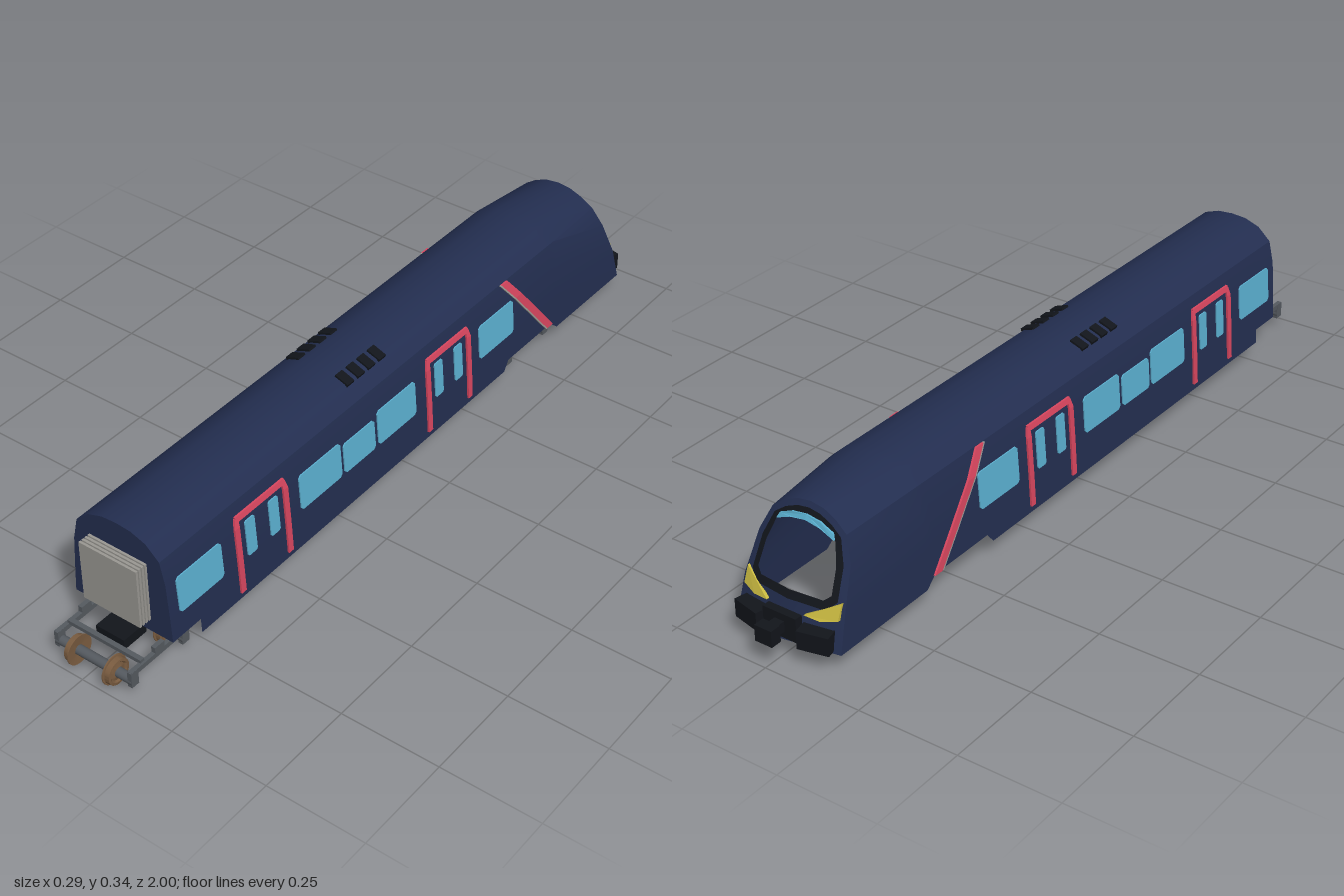
import * as THREE from 'three';
import { toCreasedNormals } from 'three/addons/utils/BufferGeometryUtils.js';

const mat = (color) => new THREE.MeshStandardMaterial({ color, side: THREE.DoubleSide });
const navy = mat(0x232e50), black = mat(0x12151b), glass = mat(0x5bb0d0), pink = mat(0xd9465f);
const yellow = mat(0xc8b840), grey = mat(0x9a9893), steel = mat(0x555a60), brown = mat(0x7a5c40);

// Half cross-sections, from the sill up to the roof centre
const BODY = [[0.141, 0.04], [0.135, 0.14], [0.128, 0.235], [0.115, 0.293], [0.08, 0.325], [0.04, 0.339], [0, 0.342]];
const NOSE = [[0.142, 0.043], [0.137, 0.13], [0.124, 0.225], [0.1, 0.28], [0.07, 0.302], [0.036, 0.317], [0, 0.322]];
const MASK = [[0.095, 0.13], [0.116, 0.15], [0.11, 0.22], [0.09, 0.272], [0.062, 0.292], [0.03, 0.305], [0, 0.309]];
const PANE = [[0.085, 0.148], [0.1, 0.16], [0.095, 0.215], [0.08, 0.262], [0.055, 0.275], [0.03, 0.282], [0, 0.285]];
const REAR = 0.86;

// Half-width of the side wall at a height
function wallX(y) {
  let i = 0;
  while (i < BODY.length - 2 && y > BODY[i + 1][1]) i++;
  const [x0, y0] = BODY[i], [x1, y1] = BODY[i + 1];
  return x0 + (x1 - x0) * (y - y0) / (y1 - y0);
}
// Depth of the raked, bowed cab front
const noseZ = (x, y) => (y < 0.13 ? -0.945 + (y - 0.045) * 0.29 : -0.92 + (y - 0.13) * 0.47) + 1.2 * x * x;

const mirrorHalf = (half) => [...half, ...half.slice(0, -1).reverse().map(([x, y]) => [-x, y])];

// Skin over rows of points with equal counts
function loft(rows, closed) {
  const n = rows[0].length, index = [];
  for (let r = 0; r < rows.length - 1; r++) {
    for (let i = 0; i < (closed ? n : n - 1); i++) {
      const a = r * n + i, b = r * n + (i + 1) % n;
      index.push(a, b, a + n, b, b + n, a + n);
    }
  }
  const g = new THREE.BufferGeometry();
  g.setAttribute('position', new THREE.Float32BufferAttribute(rows.flat(2), 3));
  g.setIndex(index);
  return toCreasedNormals(g, 0.45);
}

function add(parent, name, geometry, material, x = 0, y = 0, z = 0) {
  const m = new THREE.Mesh(geometry, material);
  m.name = name;
  m.position.set(x, y, z);
  parent.add(m);
  return m;
}
const box = (p, name, material, w, h, d, x, y, z) => add(p, name, new THREE.BoxGeometry(w, h, d), material, x, y, z);

// Extrude an outline, then bend it onto a surface by a rule
function plate(parent, name, points, depth, material, rule) {
  const shape = new THREE.Shape(points.map(([a, b]) => new THREE.Vector2(a, b)));
  const g = new THREE.ExtrudeGeometry(shape, { depth, bevelEnabled: false });
  const p = g.attributes.position;
  for (let i = 0; i < p.count; i++) p.setXYZ(i, ...rule(p.getX(i), p.getY(i), p.getZ(i)));
  g.computeVertexNormals();
  return add(parent, name, g, material);
}
// Plate on a side wall, outline given as (z, y)
const sidePlate = (parent, name, side, points, material, depth = 0.006) =>
  plate(parent, name, points, depth, material, (z, y, d) => [side * (wallX(y) - 0.003 + d), y, z]);
const rect = (z0, z1, y0, y1) => [[z0, y0], [z1, y0], [z1, y1], [z0, y1]];
// Window outline with clipped corners
const pane = (z0, z1, y0, y1, c = 0.007) => [[z0 + c, y0], [z1 - c, y0], [z1, y0 + c], [z1, y1 - c],
  [z1 - c, y1], [z0 + c, y1], [z0, y1 - c], [z0, y0 + c]];

function addBody(root) {
  // Shell with raised sills over the bogies, open underneath
  const stations = [[REAR, 0.08], [0.77, 0.08], [0.77, 0.043], [-0.39, 0.043], [-0.41, 0.068], [-0.6, 0.068], [-0.63, 0.043]];
  const rows = stations.map(([z, sill]) =>
    mirrorHalf([[wallX(sill), sill], ...BODY.slice(1)]).map(([x, y]) => [x, y, z]));
  rows.push(mirrorHalf(NOSE).map(([x, y]) => [x, y, noseZ(x, y)]));
  add(root, 'bodyShell', loft(rows), navy);

  // End wall with doorway and bellows
  const wall = new THREE.Shape(mirrorHalf([[wallX(0.08), 0.08], ...BODY.slice(1)]).map((p) => new THREE.Vector2(...p)));
  wall.holes.push(new THREE.Path([[-0.075, 0.12], [-0.075, 0.267], [0.075, 0.267], [0.075, 0.12]].map((p) => new THREE.Vector2(...p))));
  add(root, 'endWall', new THREE.ShapeGeometry(wall), navy, 0, 0, REAR);
  for (let i = 0; i < 4; i++) {
    box(root, 'gangwayFold', grey, 0.16, 0.157, 0.006, 0, 0.1935, REAR + 0.004 + i * 0.0093);
    if (i < 3) box(root, 'gangwayCore', grey, 0.148, 0.145, 0.004, 0, 0.1935, REAR + 0.0087 + i * 0.0093);
  }

  // Roof vents
  for (const s of [-1, 1]) {
    for (let i = 0; i < 4; i++) {
      const vent = box(root, 'roofVent', black, 0.038, 0.008, 0.025, s * 0.07, 0.3295, 0.05 + i * 0.04);
      vent.rotation.z = -s * 0.36;
    }
  }
}

function addSide(root, s) {
  const side = new THREE.Group();
  side.name = s > 0 ? 'leftSide' : 'rightSide';
  root.add(side);
  const windows = [[0.685, 0.83, 0.235], [0.267, 0.417, 0.235], [0.14, 0.257, 0.222], [-0.02, 0.128, 0.235], [-0.43, -0.283, 0.235]];
  for (const [z0, z1, top] of windows) sidePlate(side, 'window', s, pane(z0, z1, 0.142, top), glass);
  // Doors: frame bars and two narrow windows
  for (const z of [0.548, -0.155]) {
    for (const e of [-1, 1]) {
      const a = z + e * 0.083;
      sidePlate(side, 'doorPost', s, rect(a - 0.008, a + 0.008, 0.06, 0.14), pink, 0.008);
      sidePlate(side, 'doorPost', s, rect(a - 0.008, a + 0.008, 0.14, 0.235), pink, 0.008);
      sidePlate(side, 'doorPost', s, [[a - 0.008, 0.235], [a + 0.008, 0.235],
        [a + (e > 0 ? 0.002 : 0.008), 0.258], [a - (e > 0 ? 0.008 : 0.002), 0.258]], pink, 0.008);
      const w = z + e * 0.04;
      sidePlate(side, 'doorWindow', s, pane(w - 0.016, w + 0.016, 0.14, 0.235, 0.004), glass);
    }
    sidePlate(side, 'doorHeader', s, rect(z - 0.083, z + 0.083, 0.248, 0.262), pink, 0.008);
  }
  // Slanted stripe with a pale edge
  const slantZ = (y) => -0.6 + (y - 0.06) * 0.83;
  const levels = [0.068, 0.14, 0.235, 0.292];
  const bands = [['stripe', pink, -0.012, 0.014], ['stripeEdge', grey, 0.014, 0.019]];
  for (const [name, material, l, r] of bands) {
    for (let i = 0; i < 3; i++) {
      const a = levels[i], b = levels[i + 1];
      sidePlate(side, name, s, [[slantZ(a) + l, a], [slantZ(a) + r, a], [slantZ(b) + r, b], [slantZ(b) + l, b]], material, 0.008);
    }
  }
}

function addCab(root) {
  const cab = new THREE.Group();
  cab.name = 'cab';
  root.add(cab);
  // Front panel, black mask and open windscreen as nested loops
  const ring = (half) => [...mirrorHalf(half), [0, half[0][1]]].map(([x, y]) => [x, y, noseZ(x, y)]);
  add(cab, 'frontPanel', loft([ring(NOSE), ring(MASK)], true), navy);
  add(cab, 'windscreenMask', loft([ring(MASK), ring(PANE)], true), black);
  const onNose = (x, y, d) => [x, y, noseZ(x, y) + 0.002 - d];
  plate(cab, 'displayStrip', [[-0.078, 0.265], [-0.04, 0.28], [0, 0.286], [0.04, 0.28], [0.078, 0.265],
    [0.072, 0.278], [0.038, 0.292], [0, 0.297], [-0.038, 0.292], [-0.072, 0.278]], 0.006, glass, onNose);
  for (const s of [-1, 1]) {
    plate(cab, 'headlight', [[s * 0.128, 0.152], [s * 0.05, 0.112], [s * 0.09, 0.108], [s * 0.128, 0.116]], 0.008, yellow, onNose);
    const bumper = box(cab, 'bumper', black, 0.075, 0.045, 0.05, s * 0.086, 0.07, -0.928);
    bumper.rotation.y = -s * 0.22;
  }
  box(cab, 'couplerRecess', black, 0.09, 0.06, 0.02, 0, 0.08, -0.938);
  box(cab, 'couplerShank', black, 0.026, 0.026, 0.06, 0, 0.08, -0.955);
  box(cab, 'couplerHead', black, 0.046, 0.04, 0.028, 0, 0.08, -0.986);
}

function addBogie(root, z) {
  const bogie = new THREE.Group();
  bogie.name = 'bogie';
  bogie.position.set(0.01, 0, z);
  root.add(bogie);
  // Wheel profile: tread outside, flange inside
  const profile = [[0.012, 0.007], [0.022, 0.004], [0.026, 0.008], [0.032, 0.008], [0.033, -0.004], [0.037, -0.005], [0.037, -0.008], [0.012, -0.006]];
  const wheel = toCreasedNormals(new THREE.LatheGeometry(profile.map((p) => new THREE.Vector2(...p)), 24), 0.5);
  for (const e of [-1, 1]) {
    const az = e * 0.0815;
    add(bogie, 'axle', new THREE.CylinderGeometry(0.012, 0.012, 0.218, 16), steel, 0, 0.037, az).rotation.z = Math.PI / 2;
    for (const s of [-1, 1]) {
      add(bogie, 'wheel', wheel, brown, s * 0.056, 0.037, az).rotation.z = -s * Math.PI / 2;
      box(bogie, 'axleBox', steel, 0.012, 0.04, 0.022, s * 0.104, 0.045, az);
    }
    box(bogie, 'crossBeam', steel, 0.208, 0.01, 0.012, 0, 0.068, e * 0.05);
  }
  for (const s of [-1, 1]) {
    box(bogie, 'sideBeam', steel, 0.011, 0.013, 0.18, s * 0.104, 0.059, 0);
    box(bogie, 'damper', steel, 0.011, 0.025, 0.03, s * 0.104, 0.068, 0);
  }
  box(bogie, 'bolster', black, 0.08, 0.026, 0.07, 0, 0.065, 0);
}

export function createModel() {
  const root = new THREE.Group();
  root.name = 'trainCar';
  addBody(root);
  for (const s of [-1, 1]) addSide(root, s);
  addCab(root);
  for (const z of [0.8815, -0.5275]) addBogie(root, z);
  return root;
}
